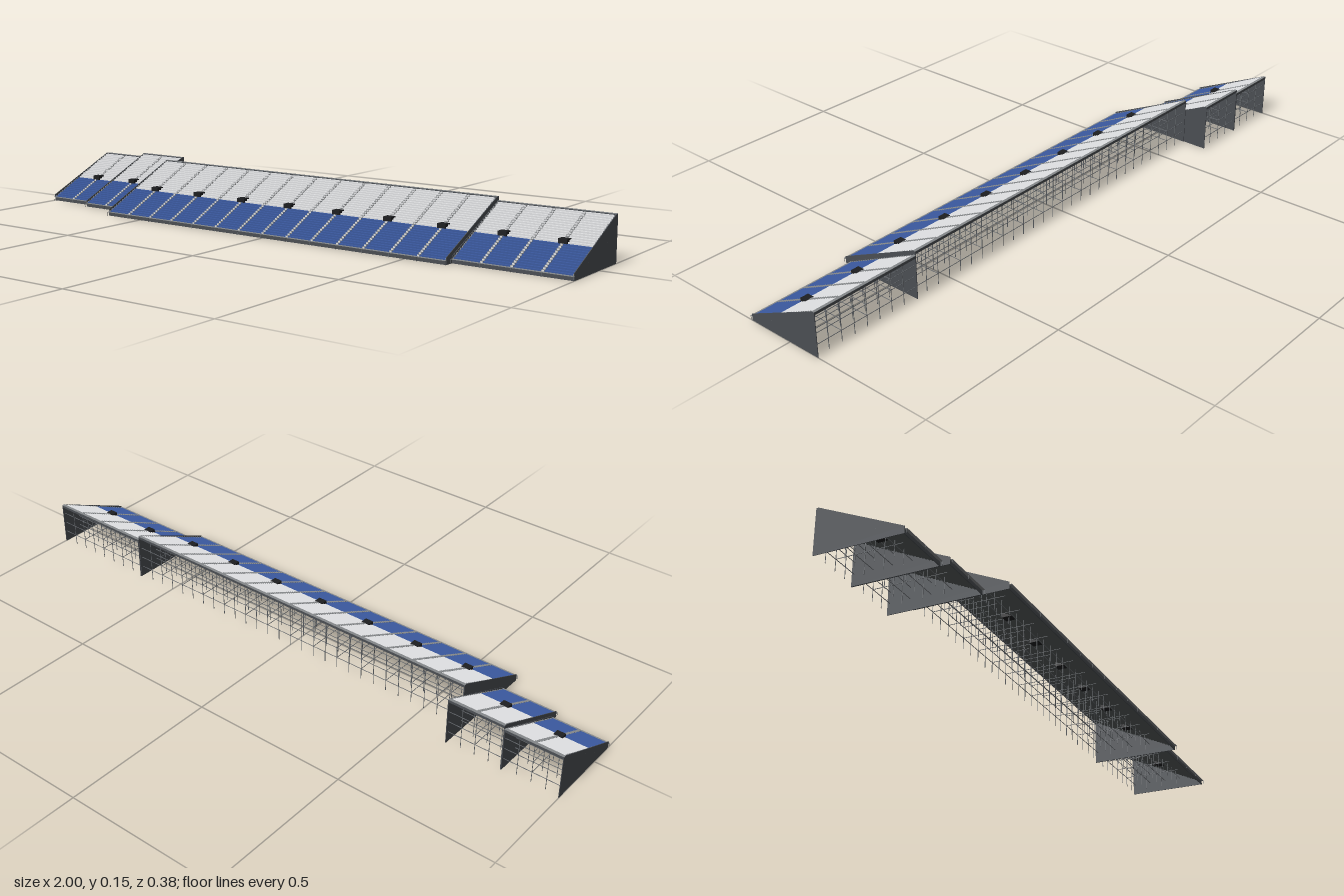
import * as THREE from 'three';

const mat = (name, color) => {
  const m = new THREE.MeshStandardMaterial({ color });
  m.name = name;
  return m;
};

const BAY = 2 / 22, PITCH = 0.0097, WALL = 0.002, AISLE = 0.0045;

// x start, bay count, front z, back z, rim height at the back, colour boundary z, entrance z
const SECTIONS = [
  { name: 'endBlock', x0: -1, bays: 2, zf: 0.077, zb: -0.19, top: 0.14, split: -0.04, gate: -0.05 },
  { name: 'cornerBlock', x0: -1 + 2 * BAY, bays: 2, zf: 0.104, zb: -0.19, top: 0.152, split: -0.028, gate: -0.035 },
  { name: 'mainBlock', x0: -1 + 4 * BAY, bays: 14, zf: 0.183, zb: -0.108, top: 0.152, split: 0.05, gate: 0.045 },
  { name: 'sideBlock', x0: -1 + 18 * BAY, bays: 4, zf: 0.154, zb: -0.11, top: 0.14, split: 0.036, gate: 0.025 },
];

export function createModel() {
  const model = new THREE.Group();
  model.name = 'grandstand';
  const blue = mat('blue seating', 0x3a599f);
  const pale = mat('pale grey seating', 0xe0e1e3);
  const slate = mat('slate wall', 0x4a4e53);
  const dark = mat('grey deck', 0x565c5c);
  const black = mat('black entrance', 0x1d1e20);
  const trim = mat('trim grey', 0x85888a);
  const steel = mat('scaffold steel', 0x686c70);

  const add = (parent, name, geo, material) => {
    const mesh = new THREE.Mesh(geo, material);
    mesh.name = name;
    parent.add(mesh);
    return mesh;
  };
  const box = (parent, name, material, x0, x1, y0, y1, z0, z1) => {
    const g = new THREE.BoxGeometry(x1 - x0, y1 - y0, z1 - z0);
    g.translate((x0 + x1) / 2, (y0 + y1) / 2, (z0 + z1) / 2);
    return add(parent, name, g, material);
  };
  // Extrudes a [z, y] side profile between two x positions
  const prism = (parent, name, material, profile, x0, x1) => {
    const shape = new THREE.Shape(profile.map(([z, y]) => new THREE.Vector2(-z, y)));
    const g = new THREE.ExtrudeGeometry(shape, { depth: x1 - x0, bevelEnabled: false });
    g.rotateY(Math.PI / 2);
    g.translate(x0, 0, 0);
    return add(parent, name, g, material);
  };

  for (const s of SECTIONS) {
    const group = new THREE.Group();
    group.name = s.name;
    model.add(group);
    const { x0, zf, zb } = s, x1 = x0 + s.bays * BAY;
    const xa = x0 + WALL, xb = x1 - WALL;
    const zStart = zf - 0.002, zEnd = zb + 0.007;
    const rows = Math.round((zStart - zEnd) / PITCH);
    const d = (zStart - zEnd) / rows, y0 = 0.012;
    const h = (s.top - 0.004 - y0) / rows;
    const deckY = z => y0 + (zStart - z) / d * h;

    // Stair line from row a to row b, shifted in z and y
    const stair = (a, b, dz, dy) => {
      const p = [];
      for (let i = a; i < b; i++) {
        const z = zStart - i * d + dz;
        p.push([z, y0 + i * h + dy], [z, y0 + (i + 1) * h + dy]);
      }
      p.push([zStart - b * d + dz, y0 + b * h + dy]);
      return p;
    };
    // Thin folded plate between two shifted stair lines
    const fold = (a, b, outer, inner) =>
      [...stair(a, b, ...outer), ...stair(a, b, ...inner).reverse()];

    // Seating rows in two colours over a folded deck
    const splitRow = Math.round((zStart - s.split) / d), under = [-0.001, -0.001];
    prism(group, 'lowerSeating', blue, fold(0, splitRow, [0, 0], under), xa, xb);
    prism(group, 'upperSeating', pale, fold(splitRow, rows, [0, 0], under), xa, xb);
    prism(group, 'deck', dark, fold(0, rows, under, [-0.0022, -0.0022]), xa, xb);

    // Front plinth and back parapet with its grey cap
    box(group, 'frontPlinth', slate, x0, x1, 0, y0 - 0.001, zf - 0.003, zf);
    box(group, 'backParapet', slate, x0, x1, s.top - 0.009, s.top - 0.001, zb, zEnd);
    box(group, 'parapetCap', trim, x0, x1, s.top - 0.001, s.top, zb, zEnd + 0.002);

    // Closed triangular end walls
    const wall = [[zf, 0], [zf, 0.021], [zEnd, s.top], [zb, s.top], [zb, 0]];
    for (const x of [x0, xb]) prism(group, 'endWall', slate, wall, x, x + WALL);

    // Narrow aisles on all bay lines: grey treads with pale risers
    for (let i = 0; i <= s.bays; i++) {
      const x = x0 + i * BAY;
      const left = Math.max(xa, x - AISLE), right = Math.min(xb, x + AISLE);
      prism(group, 'aisleTreads', trim, fold(0, rows, [0.0006, 0.001], [-0.0005, -0.0005]), left, right);
      prism(group, 'aisleRisers', pale, fold(0, rows, [0.001, 0.0006], [-0.0005, -0.0005]), left + 0.001, right - 0.001);
    }

    // Entrance boxes on every other bay line
    for (let i = 1; i < s.bays; i += 2) {
      const x = x0 + i * BAY, y = deckY(s.gate);
      box(group, 'entrance', black, x - 0.0135, x + 0.0135, y - 0.01, y + 0.0085, s.gate - 0.015, s.gate + 0.015);
    }

    // Front ledge on thin posts
    const zr = zf + 0.007;
    box(group, 'frontLedge', trim, x0, x1, 0.0122, 0.0132, zf - 0.002, zr);
    for (let i = 0; i <= s.bays; i++) {
      const x = Math.min(x1 - 0.0005, Math.max(x0 + 0.0005, x0 + i * BAY));
      box(group, 'ledgePost', steel, x - 0.0005, x + 0.0005, 0, 0.0122, zr - 0.001, zr);
    }

    // Scaffold: posts on half bays, with crosswise and lengthwise tubes
    const t = 0.0007, levels = [0.035, 0.07, 0.105];
    const lines = [0, 1, 2, 3].map(k => zEnd + 0.001 + k * (zf - zb) * 0.22);
    for (const z of lines) {
      const top = deckY(z) - 0.002;
      for (let i = 1; i < s.bays * 2; i++) {
        const x = x0 + i * BAY / 2;
        box(group, 'scaffoldPost', steel, x - t, x + t, 0, top, z - t, z + t);
      }
      for (const y of levels) {
        if (y < top) box(group, 'scaffoldLedger', steel, x0, x1, y - t, y + t, z - t, z + t);
      }
    }
    for (let i = 1; i < s.bays; i++) {
      const x = x0 + i * BAY;
      for (const y of levels) {
        const zTip = zStart - (y + 0.004 - y0) / h * d;
        box(group, 'scaffoldBrace', steel, x - t, x + t, y - t, y + t, lines[0], zTip);
      }
    }
  }
  return model;
}
